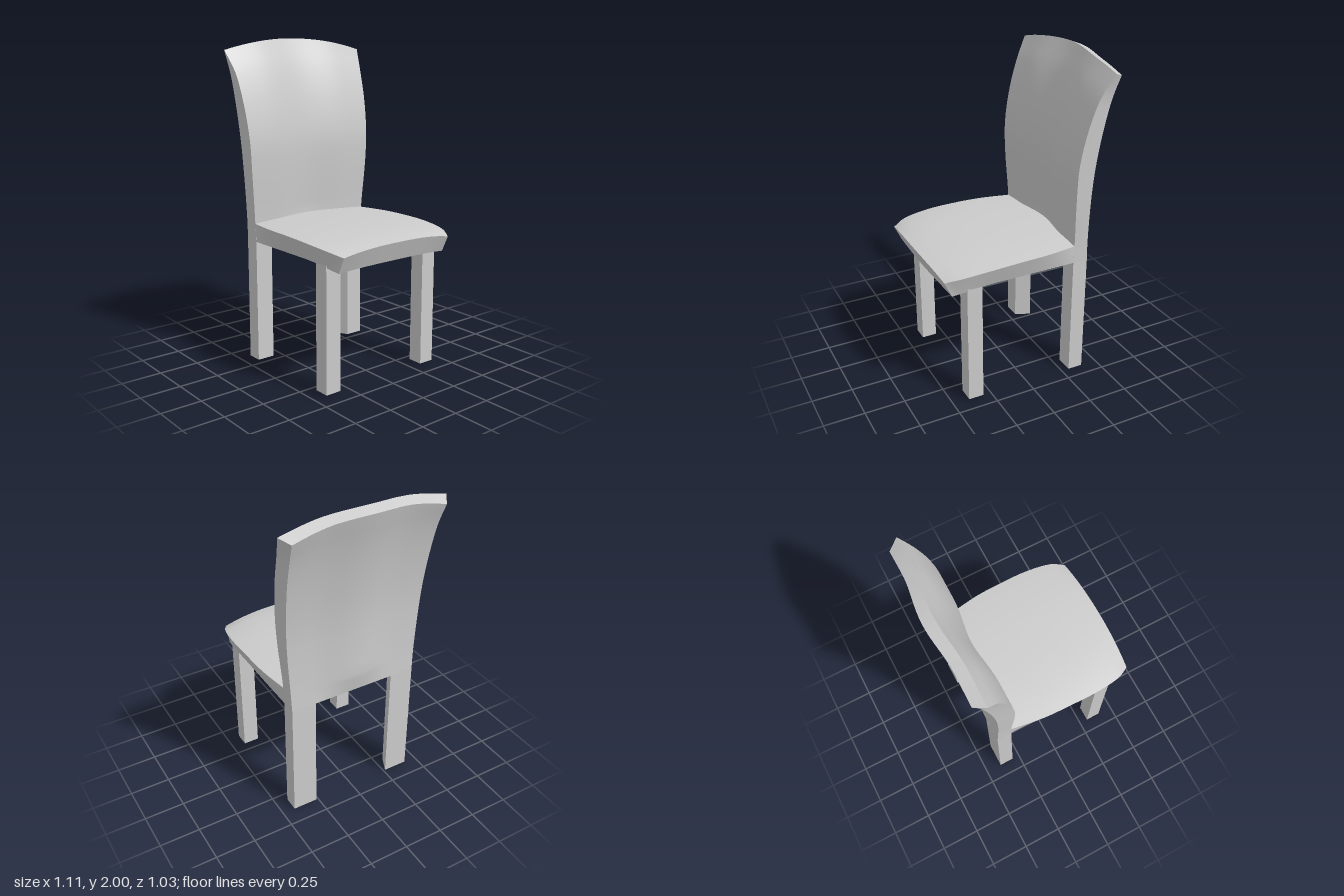
import * as THREE from 'three';
import { mergeGeometries } from 'three/addons/utils/BufferGeometryUtils.js';

const material = new THREE.MeshStandardMaterial({ color: 0xcccccc });

// Grid surface from fn(p, q) -> Vector3; its front is dp x dq
function sheet(fn, np, nq) {
  const pos = [], index = [];
  for (let i = 0; i <= np; i++) {
    for (let j = 0; j <= nq; j++) {
      pos.push(...fn(i / np, j / nq).toArray());
      if (i < np && j < nq) {
        const a = i * (nq + 1) + j, b = a + nq + 1;
        index.push(a, b, b + 1, a, b + 1, a + 1);
      }
    }
  }
  const g = new THREE.BufferGeometry();
  g.setAttribute('position', new THREE.Float32BufferAttribute(pos, 3));
  g.setIndex(index);
  g.computeVertexNormals();
  return g;
}

// Closed panel between an outer face a and an opposite face b, smooth with sharp rims
function slab(a, b, n = 24) {
  const rim = (u, v, t) => b(u, v).lerp(a(u, v), t);
  return mergeGeometries([
    sheet(a, n, n),
    sheet((p, q) => b(q, p), n, n),
    sheet((p, q) => rim(1, p, q), n, 1),
    sheet((p, q) => rim(0, q, p), 1, n),
    sheet((p, q) => rim(q, 1, p), 1, n),
    sheet((p, q) => rim(p, 0, q), n, 1),
  ]);
}

const curve = (pts) => new THREE.CatmullRomCurve3(pts.map((p) => new THREE.Vector3(...p)));

// Edge curves hold x, y and half width (z)
function makeBackrest() {
  const frontEdge = curve([[-0.30, 0.77, 0.42], [-0.30, 0.9, 0.425], [-0.287, 1.2, 0.447],
    [-0.29, 1.4, 0.457], [-0.33, 1.62, 0.47], [-0.39, 1.8, 0.485], [-0.46, 1.93, 0.515]]);
  const rearEdge = curve([[-0.395, 0.77, 0.42], [-0.39, 0.9, 0.425], [-0.39, 1.2, 0.442],
    [-0.405, 1.4, 0.45], [-0.44, 1.62, 0.458], [-0.48, 1.78, 0.462], [-0.525, 1.905, 0.47]]);
  // Hollowed towards the middle, with an arched top
  const face = (edge) => (u, v) => {
    const p = edge.getPoint(u), s = 2 * v - 1;
    const dip = (1 + Math.cos(Math.PI * Math.min(1, Math.abs(s) / 0.65))) / 2;
    p.x -= 0.03 * dip * Math.min(1, u * 6);
    p.y += 0.07 * (1 - s * s) * u ** 4;
    p.z *= s;
    return p;
  };
  return slab(face(frontEdge), face(rearEdge));
}

function makeSeat() {
  const topEdge = curve([[-0.35, 0.883, 0.415], [-0.1, 0.888, 0.455], [0.08, 0.888, 0.463],
    [0.28, 0.88, 0.463], [0.45, 0.86, 0.44], [0.53, 0.837, 0.40]]);
  const bottomEdge = curve([[-0.35, 0.77, 0.418], [-0.1, 0.77, 0.42], [0.08, 0.77, 0.42],
    [0.28, 0.768, 0.42], [0.4, 0.755, 0.415], [0.485, 0.74, 0.40]]);
  // Crowned top and sagging underside, bowed at the front
  const face = (edge, lift) => (u, v) => {
    const p = edge.getPoint(u), s = 1 - 2 * v;
    p.x += 0.02 * (1 - s * s) * u ** 4;
    p.y += lift(u) * (1 - Math.abs(s) ** 2.5);
    p.z *= s;
    return p;
  };
  return slab(
    face(topEdge, (u) => 0.017 + 0.018 * u * u),
    face(bottomEdge, (u) => 0.016 * u ** 4 - 0.022 * Math.sin(Math.PI * u)),
  );
}

// Leg with an [x, z] footprint
function makeLeg(footprint, side, y0, y1) {
  const shape = new THREE.Shape(footprint.map(([x, z]) => new THREE.Vector2(x, -z * side)));
  return new THREE.ExtrudeGeometry(shape, { depth: y1 - y0, bevelEnabled: false })
    .rotateX(-Math.PI / 2).translate(0, y0, 0);
}

export function createModel() {
  const model = new THREE.Group();
  model.name = 'chair';
  const add = (name, geometry) => {
    const mesh = new THREE.Mesh(geometry, material);
    mesh.name = name;
    model.add(mesh);
  };

  add('backrest', makeBackrest());
  add('seat', makeSeat());

  // Rear legs have a slanted inner face
  const rear = [[-0.395, 0.42], [-0.30, 0.42], [-0.30, 0.307], [-0.395, 0.263]];
  const front = [[0.305, 0.42], [0.40, 0.42], [0.40, 0.32], [0.305, 0.32]];
  for (const side of [1, -1]) {
    const label = side > 0 ? 'PlusZ' : 'MinusZ';
    add('rearLeg' + label, makeLeg(rear, side, 0, 0.775));
    add('frontLeg' + label, makeLeg(front, side, 0.008, 0.78));
  }
  return model;
}
